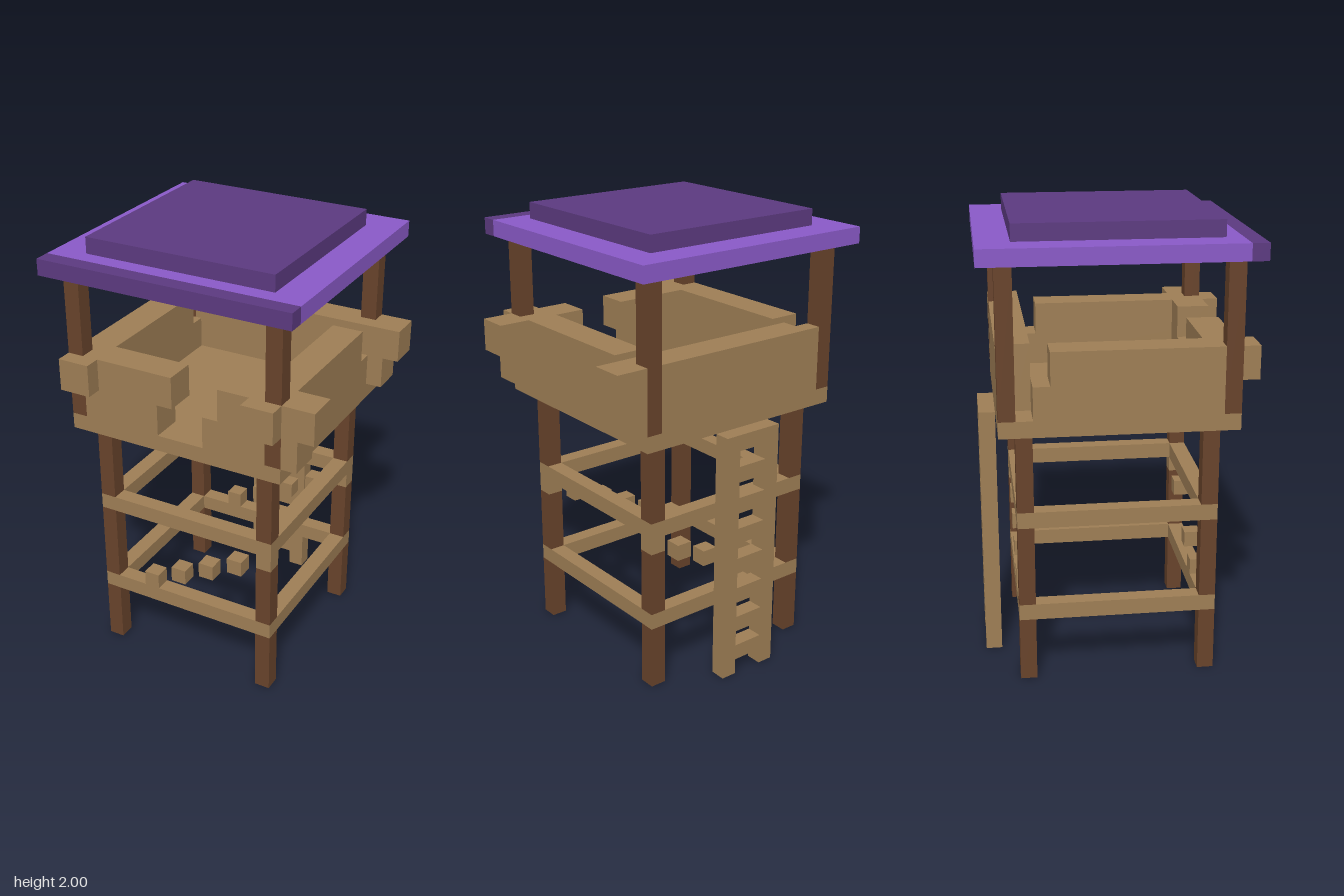
import * as THREE from 'three';

const U = 1 / 14; // one block

export function createModel() {
  const model = new THREE.Group();
  model.name = 'watchtower';

  const mat = (name, color) => {
    const m = new THREE.MeshStandardMaterial({ color });
    m.name = name;
    return m;
  };
  const plank = mat('plankWood', 0x9e7e55);
  const beam = mat('darkBeam', 0x68432b);
  const purple = mat('roofPurple', 0x8a5ac8);
  const darkPurple = mat('roofDarkPurple', 0x5c3a80);

  const group = (name) => {
    const g = new THREE.Group();
    g.name = name;
    model.add(g);
    return g;
  };

  // Box between block coordinates: x from a to b, y from c to d, z from e to f
  const box = (parent, name, m, a, b, c, d, e, f) => {
    const mesh = new THREE.Mesh(new THREE.BoxGeometry((b - a) * U, (d - c) * U, (f - e) * U), m);
    mesh.position.set(((a + b) / 2 - 8.5) * U, ((c + d) / 2) * U, ((e + f) / 2 - 8) * U);
    mesh.name = name;
    parent.add(mesh);
  };

  // Legs, in segments between the brace rings
  const legs = group('legs');
  for (const x of [2, 13]) {
    for (const z of [2, 13]) {
      const spans = [[0, 4], [5, x === 13 ? 9 : 10], [11, 16]];
      for (const [c, d] of spans) box(legs, 'leg', beam, x, x + 1, c, d, z, z + 1);
    }
  }

  // Two square rings of braces
  const braces = group('braces');
  for (const y of [4, 10]) {
    for (const p of [2, 13]) {
      box(braces, 'crossBrace', plank, 2, 14, y, y + 1, p, p + 1);
      box(braces, 'sideBrace', plank, p, p + 1, y, y + 1, 3, 13);
    }
  }

  // Stepped diagonal braces, front and back
  const steps = group('diagonalBraces');
  for (const z of [2, 13]) {
    for (let n = 0; n < 5; n++) {
      const x = 5 + 2 * n, y = 5 + n;
      box(steps, 'braceBlock', plank, x, x + 1, y, y + 1, z, z + 1);
    }
  }

  // Ladder on the back
  const ladder = group('ladder');
  for (const x of [6, 9]) box(ladder, 'ladderRail', plank, x, x + 1, 0, 16, 0, 1);
  for (let y = 1; y < 16; y += 2) box(ladder, 'ladderRung', plank, 7, 9, y, y + 1, 0, 1);

  // Platform floor
  const platform = group('platform');
  box(platform, 'floor', plank, 1, 15, 16, 17, 1, 15);

  // Back parapet
  box(platform, 'backWall', plank, 2, 14, 17, 21, 1, 2);
  box(platform, 'backWall', plank, 3, 15, 17, 21, 2, 3);

  // Side parapets with a gap near the back
  for (const x of [1, 13]) {
    box(platform, 'sideWallLower', plank, x, x + 2, 17, 19, 3, 13);
    box(platform, 'sideWallUpper', plank, x, x + 2, 19, 21, 4, 13);
    box(platform, 'frontCorner', plank, x, x + 2, 17, 21, 13, 14);
    const c = x === 1 ? 2 : 13;
    box(platform, 'frontCorner', plank, c, c + 1, 17, 21, 14, 15);
    // Front corner battlement
    box(platform, 'frontBattlement', plank, x, x + 2, 19, 21, 15, 16);
  }

  // Front parapet with a stepped opening
  for (const [a, b, c, d] of [[3, 7, 17, 19], [3, 8, 19, 21], [10, 13, 17, 19], [11, 13, 19, 21]]) {
    box(platform, 'frontWall', plank, a, b, c, d, 13, 15);
  }

  // Stepped brackets on the left side
  for (const z of [1, 13]) {
    box(platform, 'bracketLower', plank, 15, 16, 17, 19, z, z + 2);
    box(platform, 'bracketUpper', plank, 15, 17, 19, 21, z, z + 2);
  }

  // Roof posts set into the corners
  const posts = group('roofPosts');
  for (const x of [1, 14]) {
    for (const z of [1, 14]) box(posts, 'roofPost', beam, x, x + 1, 17, 26, z, z + 1);
  }

  // Roof
  const roof = group('roof');
  box(roof, 'roofSlab', purple, 0, 16, 26, 27, 0, 15);
  box(roof, 'roofFrontTrim', darkPurple, 0, 16, 26, 27, 15, 16);
  box(roof, 'roofCap', darkPurple, 2, 14, 27, 28, 2, 14);

  return model;
}
